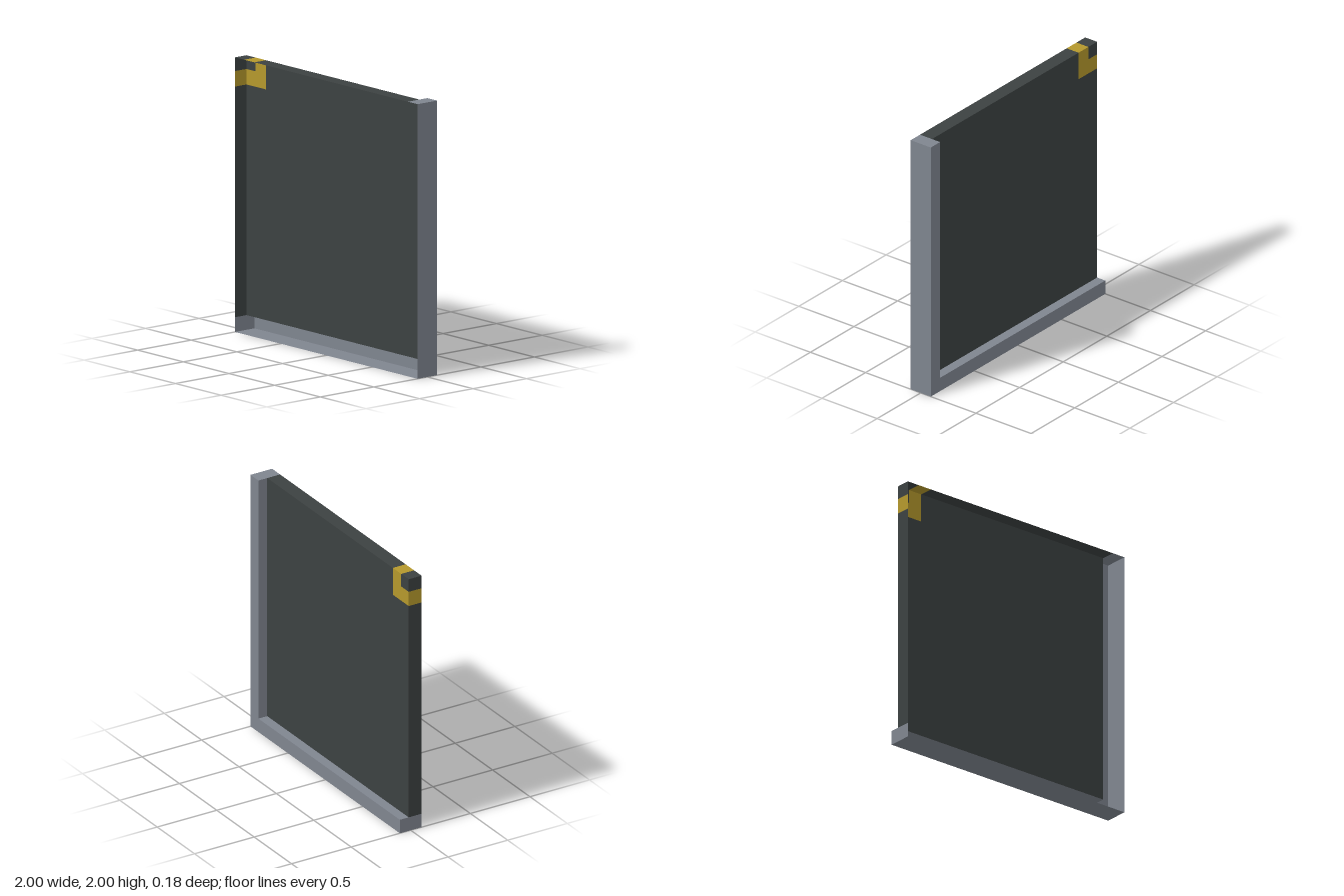
import * as THREE from 'three';
import { mergeGeometries } from 'three/addons/utils/BufferGeometryUtils.js';

const H = Math.PI / 2;
const BACK = -0.091, FRONT = 0.091; // full depth
const PANE = -0.017;                // recessed back of the panel
const IN_X = 0.893, IN_Y = 0.107;   // inner edges of the frame

// Flat rectangles, each turned to face outwards
function rect(w, h, rx, ry, x, y, z) {
  return new THREE.PlaneGeometry(w, h).rotateX(rx).rotateY(ry).translate(x, y, z);
}
const mid = (a, b) => (a + b) / 2;
const back = (x0, x1, y0, y1, z) => rect(x1 - x0, y1 - y0, 0, Math.PI, mid(x0, x1), mid(y0, y1), z);
const top = (x0, x1, z0, z1, y) => rect(x1 - x0, z1 - z0, -H, 0, mid(x0, x1), y, mid(z0, z1));
const bottom = (x0, x1, z0, z1, y) => rect(x1 - x0, z1 - z0, H, 0, mid(x0, x1), y, mid(z0, z1));
const side = (s, z0, z1, y0, y1, x) => rect(z1 - z0, y1 - y0, 0, s * H, x, mid(y0, y1), mid(z0, z1));

export function createModel() {
  const group = new THREE.Group();
  const material = (name, color) => {
    const m = new THREE.MeshStandardMaterial({ color, side: THREE.DoubleSide });
    m.name = name;
    return m;
  };
  const steel = material('steel grey', 0x7f858f);
  const slate = material('dark slate', 0x3c4141);
  const gold = material('gold', 0xb4982c);

  const add = (name, mat, faces) => {
    const mesh = new THREE.Mesh(mergeGeometries(faces), mat);
    mesh.name = name;
    group.add(mesh);
  };

  // Frame: an open-fronted shell along the bottom and the left side
  add('bottomRail', steel, [
    back(-1, 1, 0, IN_Y, BACK),
    bottom(-1, 1, BACK, FRONT, 0),
    top(-1, IN_X, BACK, PANE, IN_Y),
    side(-1, BACK, FRONT, 0, IN_Y, -1),
  ]);
  add('sidePost', steel, [
    back(IN_X, 1, IN_Y, 2, BACK),
    side(1, BACK, FRONT, 0, 2, 1),
    side(-1, BACK, PANE, IN_Y, 2, IN_X),
    top(IN_X, 1, BACK, FRONT, 2),
  ]);

  // Recessed panel with its top and outer edge
  const A = -0.9, B = -0.787, C = 1.9, D = 1.787; // corner bracket limits
  add('panel', slate, [
    back(-1, IN_X, IN_Y, D, PANE),
    back(B, IN_X, D, 2, PANE),
    top(B, IN_X, PANE, FRONT, 2),
    side(-1, PANE, FRONT, IN_Y, D, -1),
  ]);
  add('panelCorner', slate, [
    back(-1, A, C, 2, PANE),
    top(-1, A, PANE, FRONT, 2),
    side(-1, PANE, FRONT, C, 2, -1),
  ]);

  // Gold L-shaped band wrapping round the corner
  add('cornerBracket', gold, [
    back(-1, B, D, C, PANE),
    back(A, B, C, 2, PANE),
    top(A, B, PANE, FRONT, 2),
    side(-1, PANE, FRONT, D, C, -1),
  ]);

  return group;
}
